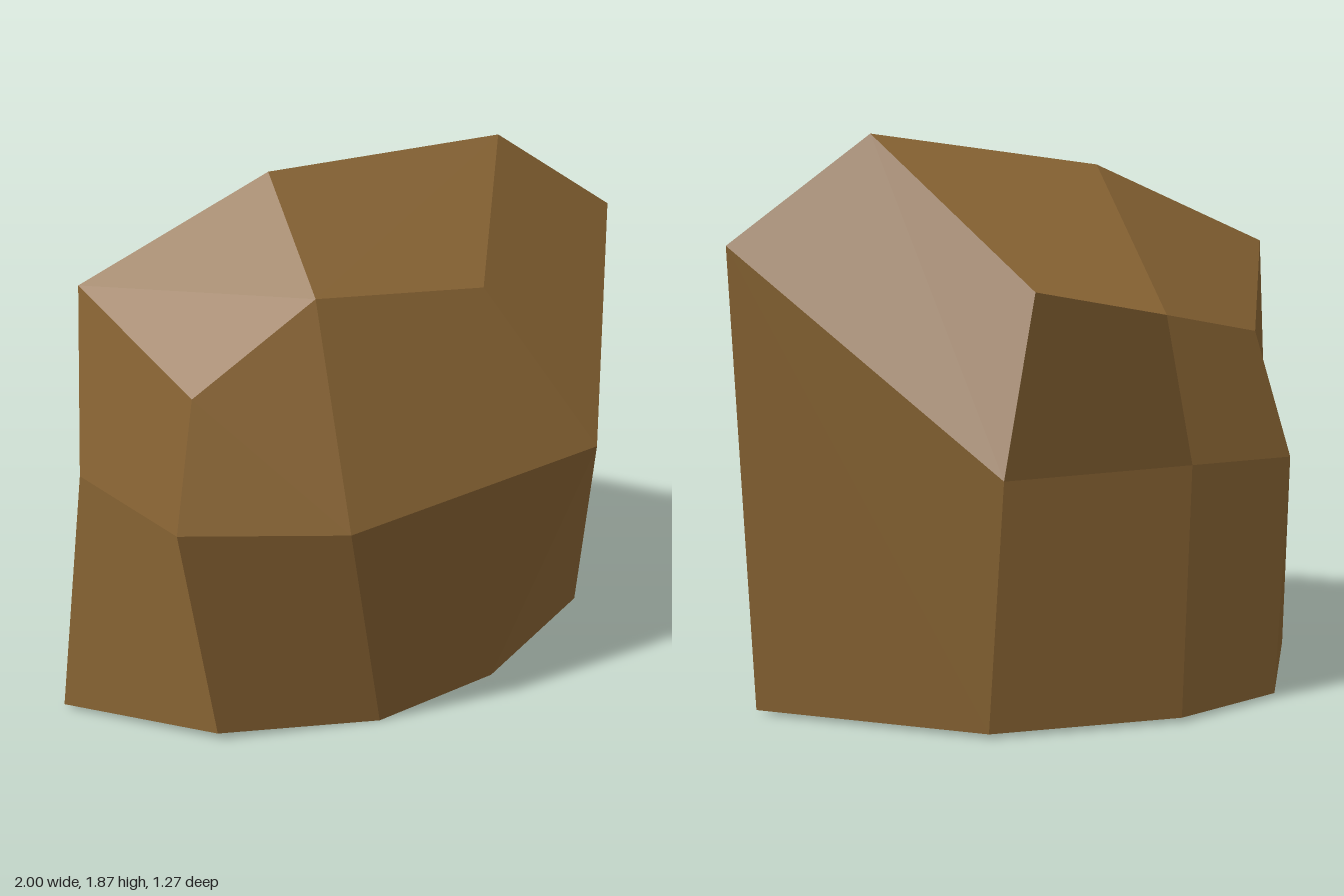
import * as THREE from 'three';

// Horizontal cross-sections, each running left side, front, right side, back
const base = [
  [-1, 0.02, 0], [-0.57, 0.03, 0.36], [-0.03, 0, 0.45], [0.43, 0.01, 0.36],
  [0.94, 0.015, 0.03], [0.3, 0.015, -0.44], [-0.33, 0.015, -0.53], [-0.72, 0.015, -0.44],
];
const waist = [
  [-0.88, 0.85, -0.04], [-0.7, 0.85, 0.45], [-0.21, 0.85, 0.635], [0.68, 0.94, 0.535],
  [1, 1.54, -0.04], [0.28, 0.85, -0.53], [-0.35, 0.85, -0.53], [-0.7, 0.85, -0.53],
];
const shoulder = [
  [-0.84, 1.5, -0.04], [-0.61, 1.25, 0.36], [-0.25, 1.55, 0.45], [0.41, 1.41, 0.22],
  [0.5, 1.87, 0.1], [0.22, 1.43, -0.635], [-0.25, 1.33, -0.535], [-0.61, 1.25, -0.44],
];
const crown = [-0.2, 1.77, -0.1];
const baseCentre = [0, 0.01, 0];

function rockGeometry() {
  const positions = [];
  const normals = [];
  // Four-sided facet, split from b to d and shaded as one plane
  const facet = (a, b, c, d) => {
    const [va, vb, vc, vd] = [a, b, c, d].map((p) => new THREE.Vector3(...p));
    const normal = vc.sub(va).cross(vd.sub(vb)).normalize();
    positions.push(...a, ...b, ...d, ...b, ...c, ...d);
    for (let k = 0; k < 6; k++) normals.push(normal.x, normal.y, normal.z);
  };
  const count = base.length;
  for (let i = 0; i < count; i++) {
    const j = (i + 1) % count;
    // Sides between neighbouring sections
    facet(base[i], base[j], waist[j], waist[i]);
    facet(waist[i], waist[j], shoulder[j], shoulder[i]);
  }
  for (let i = 0; i < count; i += 2) {
    const j = i + 1;
    const k = (i + 2) % count;
    // Top and underside, four facets each
    facet(crown, shoulder[i], shoulder[j], shoulder[k]);
    facet(baseCentre, base[k], base[j], base[i]);
  }
  const geometry = new THREE.BufferGeometry();
  geometry.setAttribute('position', new THREE.Float32BufferAttribute(positions, 3));
  geometry.setAttribute('normal', new THREE.Float32BufferAttribute(normals, 3));
  return geometry;
}

export function createModel() {
  const group = new THREE.Group();
  group.name = 'boulder';
  const brown = new THREE.MeshStandardMaterial({ color: 0x8a6534 });
  brown.name = 'earth brown';
  const rock = new THREE.Mesh(rockGeometry(), brown);
  rock.name = 'rock';
  group.add(rock);
  return group;
}
